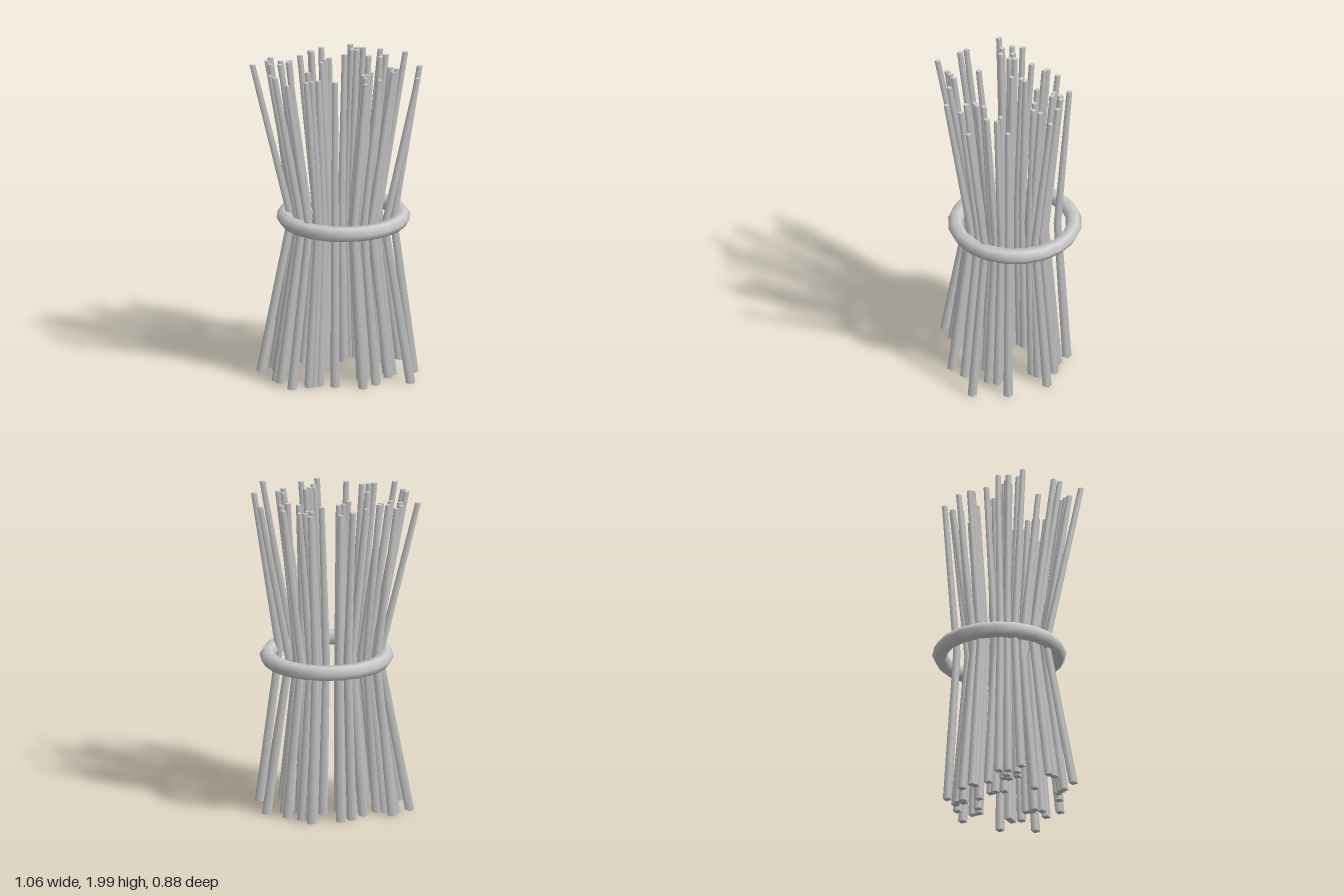
import * as THREE from 'three';

// Each stalk: x and z of its upper tip, and how far in the waist sits (fraction of the tip)
const STALKS = [
  [-0.51, -0.025, 0.53], [-0.4, -0.025, 0.55], [-0.34, -0.006, 0.5], [-0.41, -0.09, 0.58],
  [-0.386, -0.15, 0.67], [-0.33, -0.08, 0.62], [-0.275, -0.082, 0.7], [-0.285, -0.05, 0.56],
  [-0.08, -0.03, 0.45], [-0.055, -0.085, 0.65], [-0.025, -0.105, 0.78], [-0.2, -0.175, 0.53],
  [-0.125, -0.262, 0.7], [-0.12, -0.24, 0.68], [-0.053, -0.312, 0.67], [0.132, -0.352, 0.8],
  [0.17, -0.29, 0.62], [0.205, -0.285, 0.7], [0.13, -0.255, 0.72], [0.16, -0.24, 0.72],
  [0.076, -0.16, 0.68], [0.307, -0.248, 0.66], [0.455, -0.177, 0.62], [0.33, -0.135, 0.7],
  [0.22, -0.12, 0.87], [0.29, -0.098, 0.82], [0.514, 0.1, 0.69], [0.478, 0.34, 0.6],
  [0.368, 0.145, 0.65], [0.332, 0.113, 0.7], [0.34, 0.203, 0.62], [0.24, 0.347, 0.64],
  [0.152, 0.245, 0.58], [0.2, 0.197, 0.68], [0.146, 0.42, 0.61], [-0.038, 0.37, 0.57],
  [-0.338, 0.392, 0.54], [-0.214, 0.352, 0.6], [-0.18, 0.338, 0.64], [-0.423, 0.195, 0.56],
  [-0.4, 0.24, 0.55], [-0.186, 0.16, 0.5], [0.16, 0.3, 0.6], [0.18, 0.235, 0.6],
  [-0.138, 0.325, 0.65],
];

// Four-sided tapering stalk, pinched inwards at mid height
function stalkGeometry(x, z, waist) {
  const geo = new THREE.CylinderGeometry(1, 1, 2, 4, 2);
  const pos = geo.attributes.position;
  const foot = waist + 0.78 * (1 - waist);
  for (let i = 0; i < pos.count; i++) {
    const level = Math.round(pos.getY(i)); // -1 foot, 0 waist, 1 tip
    const k = level > 0 ? 1 : level < 0 ? foot : waist;
    const r = 0.0235 - 0.0055 * level;
    const y = level < 0 ? 0.008 : 1 + level;
    pos.setXYZ(i, x * k + pos.getX(i) * r, y, z * k + pos.getZ(i) * r);
  }
  return geo;
}

export function createModel() {
  const group = new THREE.Group();
  const grey = new THREE.MeshStandardMaterial({ color: 0xcccccc });
  grey.name = 'lightGrey';

  // Bundle of stalks
  const bundle = new THREE.Group();
  bundle.name = 'stalkBundle';
  for (const [x, z, waist] of STALKS) {
    const stalk = new THREE.Mesh(stalkGeometry(x, z, waist), grey);
    stalk.name = 'stalk';
    bundle.add(stalk);
  }
  group.add(bundle);

  // Binding ring around the waist
  const ring = new THREE.Mesh(new THREE.TorusGeometry(0.366, 0.049, 6, 20), grey);
  ring.name = 'bindingRing';
  ring.rotation.x = Math.PI / 2;
  ring.position.set(0.055, 1, -0.024);
  group.add(ring);

  return group;
}
